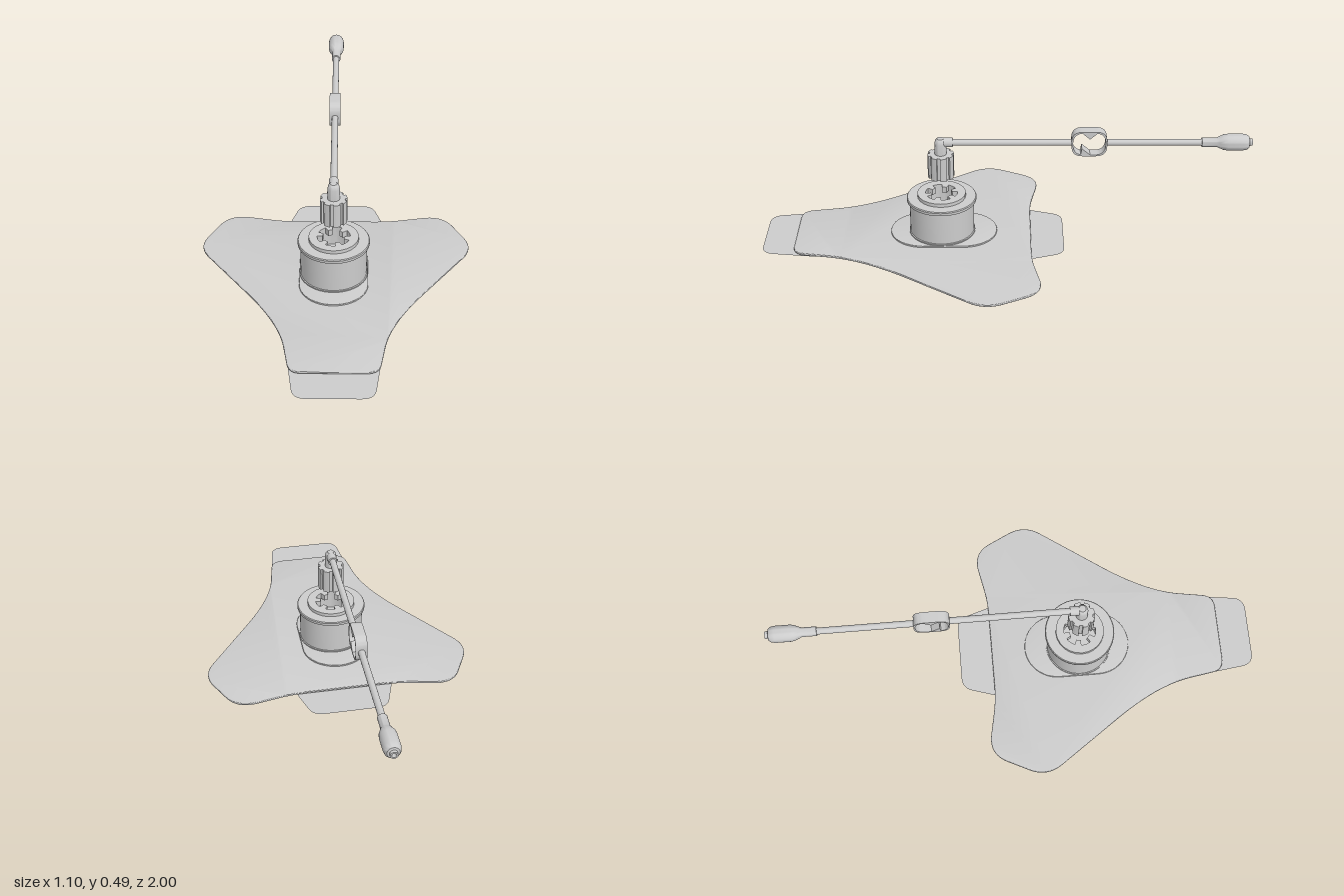
import * as THREE from 'three';
import { toCreasedNormals } from 'three/addons/utils/BufferGeometryUtils.js';

const CX = -0.007, CZ = 0.262, TUBE_Y = 0.428;
const grey = new THREE.MeshStandardMaterial({ color: 0xcccccc });
const sheet = new THREE.MeshStandardMaterial({ color: 0xcccccc, side: THREE.DoubleSide });

// Closed shape whose corners [x, y, cut] are softened by curves
function softShape(corners, Type = THREE.Shape) {
  const s = new Type();
  const n = corners.length;
  const toward = (a, b) => {
    const p = new THREE.Vector2(a[0], a[1]), d = new THREE.Vector2(b[0], b[1]).sub(p);
    const len = d.length();
    return p.addScaledVector(d, Math.min(a[2], len * 0.49) / len);
  };
  corners.forEach((c, i) => {
    const a = toward(c, corners[(i + n - 1) % n]), b = toward(c, corners[(i + 1) % n]);
    if (i) s.lineTo(a.x, a.y); else s.moveTo(a.x, a.y);
    s.quadraticCurveTo(c[0], c[1], b.x, b.y);
  });
  s.closePath();
  return s;
}

// Right-hand outline [x, z, cut] mirrored into a full plan (shape y = -z)
function mirroredPlan(half) {
  const right = half.map(([x, z, r]) => [x, -z, r]);
  const left = right.map(([x, y, r]) => [-x, y, r]).reverse();
  return softShape([...right, ...left]);
}

// Toothed outline: radius alternates between two values
function toothedPath(Type, count, rA, rB, share) {
  const s = new Type();
  const step = (Math.PI * 2) / count;
  for (let i = 0; i < count; i++) {
    const a = i * step, b = a + step * share, c = a + step;
    if (i === 0) s.moveTo(rA * Math.cos(a), rA * Math.sin(a));
    s.absarc(0, 0, rA, a, b, false);
    s.absarc(0, 0, rB, b, c, false);
  }
  s.closePath();
  return s;
}

function part(group, name, geometry, x = 0, y = 0, z = 0, material = grey) {
  const m = new THREE.Mesh(geometry, material);
  m.name = name;
  m.position.set(x, y, z);
  group.add(m);
  return m;
}

// Flat plan extruded upward
function slab(shape, depth, bevel = 0) {
  const g = new THREE.ExtrudeGeometry(shape, {
    depth: depth - 2 * bevel, curveSegments: 12, bevelEnabled: bevel > 0,
    bevelThickness: bevel, bevelSize: bevel, bevelOffset: -bevel, bevelSegments: 3,
  });
  g.translate(0, 0, bevel);
  g.rotateX(-Math.PI / 2);
  return toCreasedNormals(g, 0.6);
}

function turned(points, segments = 48) {
  const g = new THREE.LatheGeometry(points.map(([r, y]) => new THREE.Vector2(r, y)), segments);
  return toCreasedNormals(g, 0.6);
}

// Rod along z from z0 to z1
function rod(r, z0, z1) {
  const g = new THREE.CylinderGeometry(r, r, Math.abs(z1 - z0), 24);
  g.rotateX(Math.PI / 2);
  g.translate(CX, TUBE_Y, (z0 + z1) / 2);
  return g;
}

export function createModel() {
  const root = new THREE.Group();
  root.name = 'adhesivePort';

  // Thin backing sheet with pull tabs at both ends
  const backing = new THREE.ShapeGeometry(mirroredPlan([
    [0.175, 0.8, 0.02], [0.15, 0.998, 0.05], 
  ].reverse().concat([[0.2, -0.1, 0.01], [0.155, -0.243, 0.045]])), 10);
  backing.rotateX(-Math.PI / 2);
  part(root, 'backingSheet', backing, 0, 0, 0, sheet);

  // Three-lobed pad
  const padPlan = mirroredPlan([
    [0.168, 0.867, 0.05], [0.215, 0.58, 0.22], [0.57, 0.08, 0.08],
    [0.455, -0.153, 0.085], [0.22, -0.107, 0.06],
  ]);
  part(root, 'adhesivePad', slab(padPlan, 0.01, 0.003), 0, 0.004, 0);

  // Oval foot under the housing
  const foot = new THREE.Shape();
  foot.absarc(0, 0.083, 0.138, 0, Math.PI, false);
  foot.absarc(0, -0.083, 0.138, Math.PI, Math.PI * 2, false);
  foot.closePath();
  part(root, 'ovalFoot', slab(foot, 0.008, 0.002), CX, 0.013, 0.255);

  // Housing with rim
  part(root, 'housing', turned([
    [0, 0.014], [0.137, 0.014], [0.137, 0.026], [0.133, 0.028], [0.133, 0.164], [0.143, 0.166],
    [0.144, 0.17], [0.144, 0.178], [0.141, 0.182], [0.098, 0.182], [0.07, 0.182],
    [0.07, 0.11], [0, 0.11],
  ]), CX, 0, CZ);

  // Collar with a toothed socket
  const collar = new THREE.Shape();
  collar.absarc(0, 0, 0.1, 0, Math.PI * 2, false);
  collar.holes.push(toothedPath(THREE.Path, 6, 0.066, 0.044, 0.6));
  part(root, 'socketCollar', slab(collar, 0.026, 0), CX, 0.171, CZ);

  // Ribbed plug above the socket
  const plug = toothedPath(THREE.Shape, 8, 0.054, 0.046, 0.65);
  part(root, 'ribbedPlug', slab(plug, 0.102, 0), CX, 0.275, CZ);

  // Elbow
  const elbow = new THREE.Group();
  elbow.name = 'elbow';
  part(elbow, 'elbowStem', turned([
    [0, 0.37], [0.024, 0.37], [0.024, 0.425], [0.021, 0.438], [0.014, 0.446], [0, 0.448],
  ], 32), CX, 0, CZ);
  part(elbow, 'elbowArm', rod(0.019, CZ, 0.212));
  root.add(elbow);

  // Tube in two lengths, either side of the clamp
  part(root, 'tubeNear', rod(0.0135, 0.23, -0.272));
  part(root, 'tubeFar', rod(0.0135, -0.408, -0.82));

  // Pinch clamp: thin loop with two inner jaws
  const clamp = new THREE.Group();
  clamp.name = 'pinchClamp';
  const loop = (inset, Type) => softShape([
    [0.268 + inset, 0.376 + inset, 0.045], [0.412 - inset, 0.376 + inset, 0.045],
    [0.412 - inset, 0.485 - inset, 0.045], [0.268 + inset, 0.485 - inset, 0.045],
  ], Type);
  const band = loop(0, THREE.Shape);
  band.holes.push(loop(0.006, THREE.Path));
  const jaw = (pts) => new THREE.Shape(pts.map(([u, v]) => new THREE.Vector2(u, v)));
  const pieces = {
    clampBand: band,
    upperJaw: jaw([[0.342, 0.452], [0.375, 0.481], [0.308, 0.481]]),
    lowerJaw: jaw([[0.305, 0.381], [0.345, 0.381], [0.31, 0.41]]),
  };
  for (const [name, shape] of Object.entries(pieces)) {
    const g = new THREE.ExtrudeGeometry(shape, { depth: 0.046, bevelEnabled: false, curveSegments: 10 });
    g.rotateY(Math.PI / 2);
    part(clamp, name, toCreasedNormals(g, 0.6), CX - 0.023, 0, 0);
  }
  root.add(clamp);

  // End connector, turned along the tube
  const connector = turned([
    [0, 0.795], [0.019, 0.795], [0.019, 0.855], [0.025, 0.868], [0.032, 0.885], [0.034, 0.9],
    [0.034, 0.96], [0.031, 0.977], [0.024, 0.986], [0.015, 0.988], [0.015, 1], [0.009, 1],
    [0.009, 0.98], [0, 0.98],
  ], 32);
  connector.rotateX(-Math.PI / 2);
  part(root, 'endConnector', connector, CX, TUBE_Y, 0);

  return root;
}
